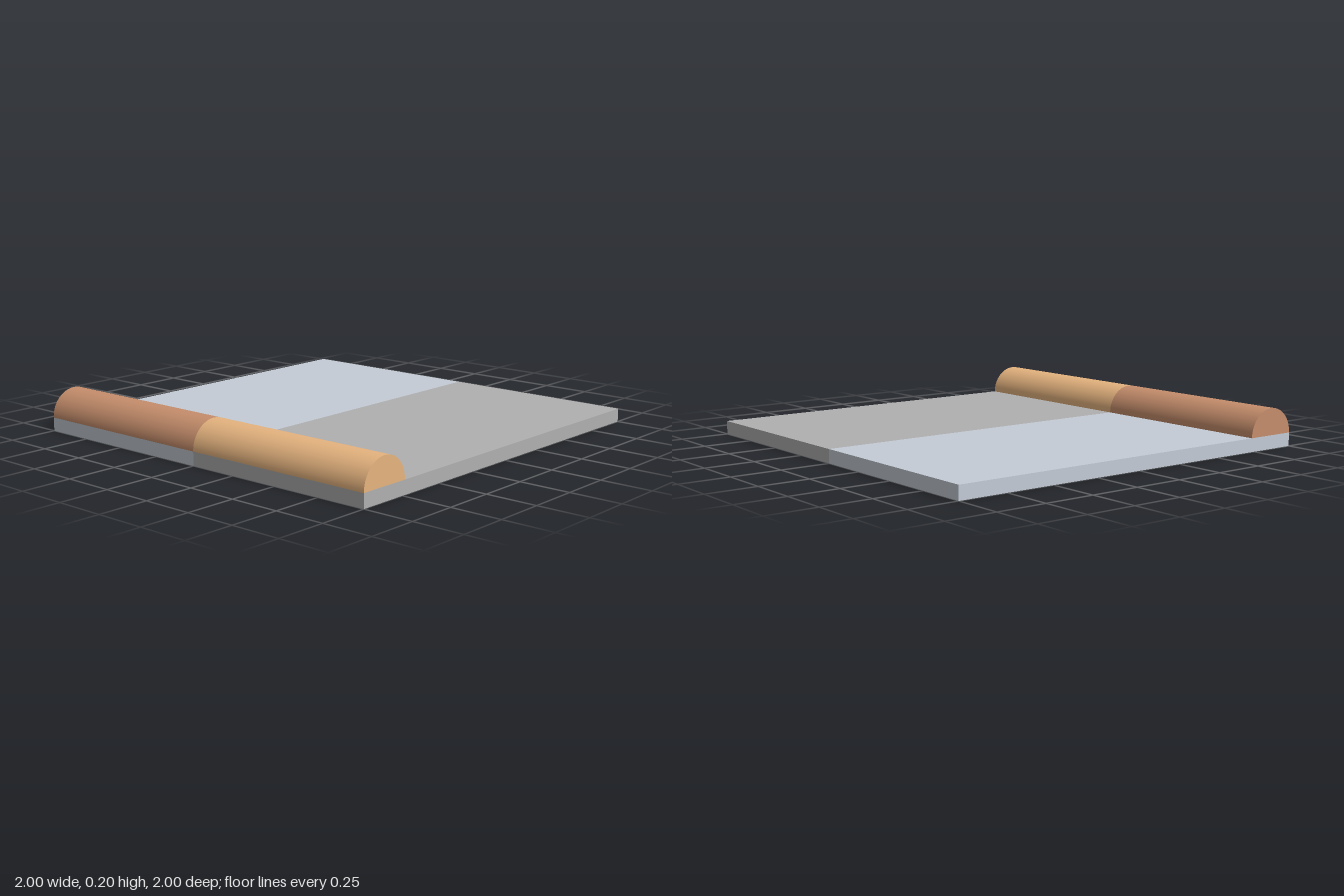
import * as THREE from 'three';

const SLAB_HEIGHT = 0.067;
const ROLL_RADIUS = 0.133;

function addPart(group, name, geometry, color, x, y, z) {
  const mesh = new THREE.Mesh(geometry, new THREE.MeshStandardMaterial({ color }));
  mesh.name = name;
  mesh.position.set(x, y, z);
  group.add(mesh);
}

export function createModel() {
  const model = new THREE.Group();
  model.name = 'slabWithHalfRoundEdge';

  // Two halves, front and back, each a slab with a half-round bar along its right edge
  const halves = [
    { name: 'front', z: 0.5, slab: 0xb0b0b0, bar: 0xe6b47f },
    { name: 'back', z: -0.5, slab: 0xc4ccd6, bar: 0xc68e6c },
  ];
  for (const half of halves) {
    const slab = new THREE.BoxGeometry(2, SLAB_HEIGHT, 1);
    addPart(model, half.name + 'Slab', slab, half.slab, 0, SLAB_HEIGHT / 2, half.z);

    // Upper half of a cylinder laid along z, flat side on the slab
    const bar = new THREE.CylinderGeometry(
      ROLL_RADIUS, ROLL_RADIUS, 1, 32, 1, false, Math.PI / 2, Math.PI);
    bar.rotateX(Math.PI / 2);
    addPart(model, half.name + 'HalfRoundBar', bar, half.bar, -1 + ROLL_RADIUS, SLAB_HEIGHT, half.z);
  }
  return model;
}
